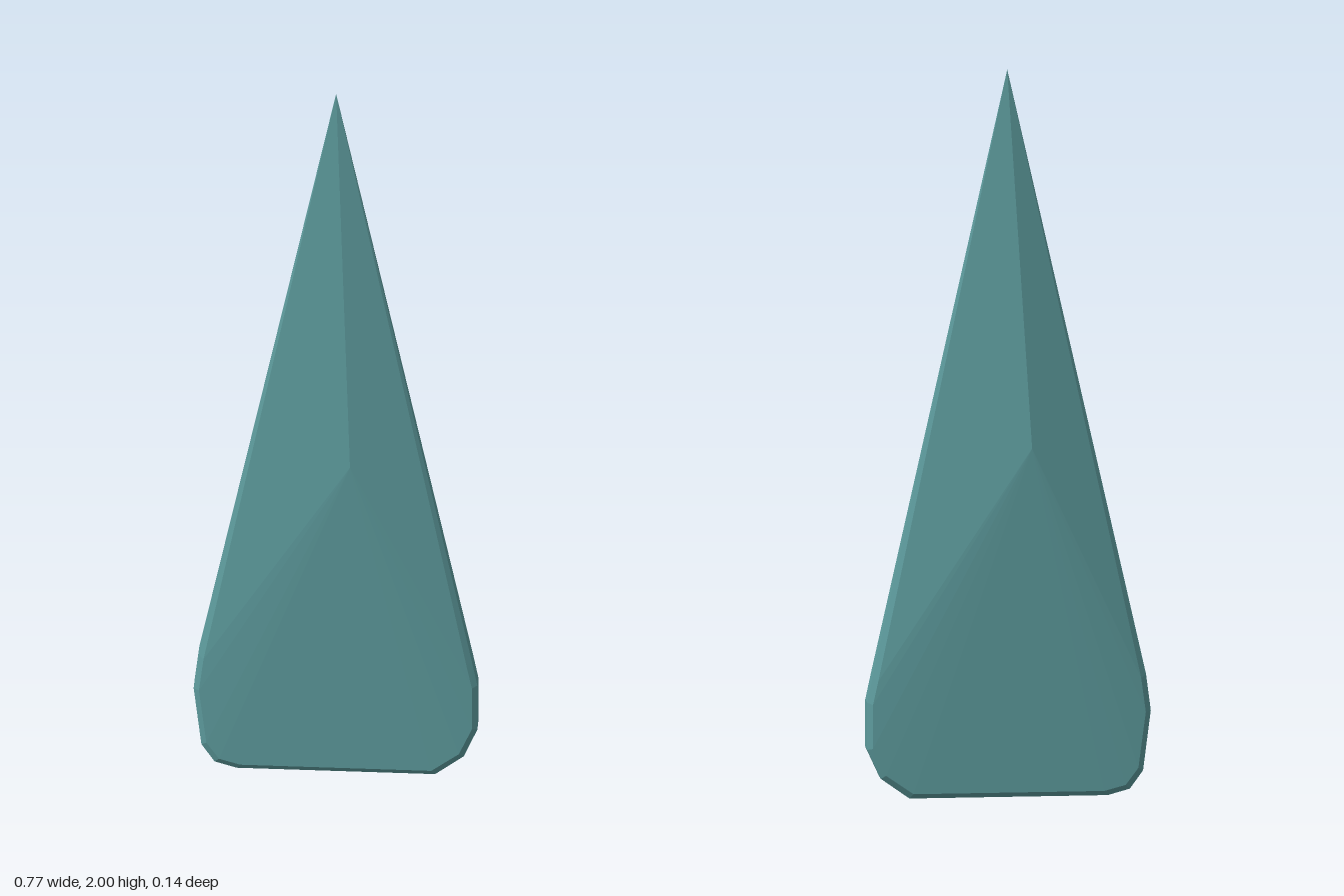
import * as THREE from 'three';
import { ConvexGeometry } from 'three/addons/geometries/ConvexGeometry.js';

export function createModel() {
  const group = new THREE.Group();
  const points = [];
  const add = (x, y, z) => points.push(new THREE.Vector3(x, y, z));

  // tip and the crest of each broad face
  add(0, 2, 0.012);
  add(0.04, 0.92, 0.067);
  add(-0.06, 0.97, -0.07);

  // rounded outline of the base: x, y
  const outline = [
    [0.37, 0.34], [0.385, 0.27], [0.385, 0.14], [0.348, 0.06], [0.27, 0.005],
    [-0.27, 0.008], [-0.33, 0.025], [-0.366, 0.075], [-0.387, 0.24], [-0.374, 0.34],
  ];

  // each broad face is slightly inset from the rim; the slab is skewed in z
  for (const [x, y] of outline) {
    const skew = x * 0.024;
    add(x, y, 0.028 + skew);
    add(x, y, -0.028 + skew * 0.8);
    const fx = x * 0.962, fy = y + (0.2 - y) * 0.07;
    add(fx, fy, 0.038 + skew);
    add(fx, fy, -0.040 + skew * 0.8);
  }

  // faceted stone blade
  const blade = new THREE.Mesh(
    new ConvexGeometry(points),
    new THREE.MeshStandardMaterial({ color: 0x5f9ea0, flatShading: true })
  );
  blade.name = 'shardBlade';
  group.add(blade);
  return group;
}
